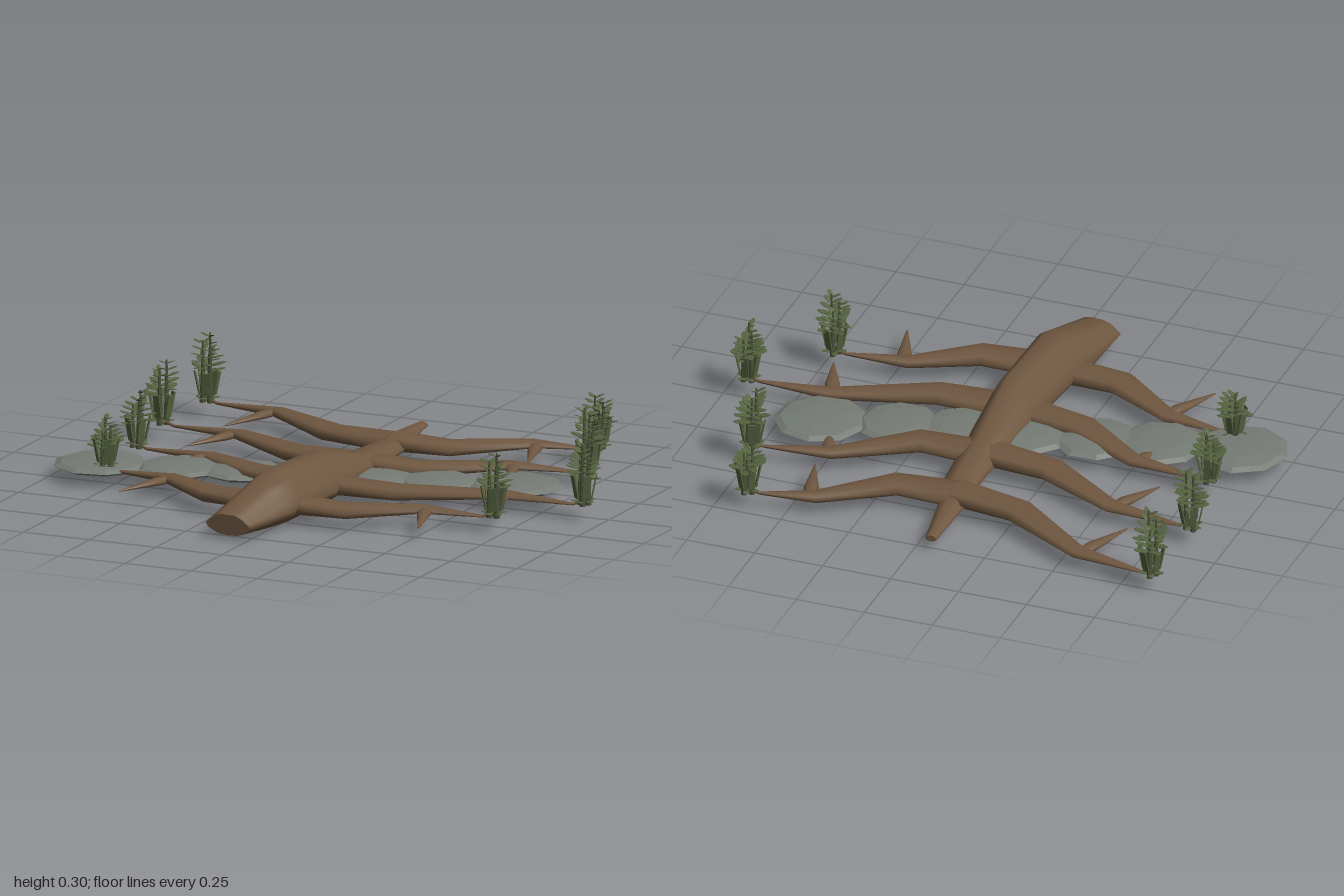
import * as THREE from 'three';

const bark = new THREE.MeshStandardMaterial({ color: 0x6f5740, side: THREE.DoubleSide });
const stone = new THREE.MeshStandardMaterial({ color: 0x757b74, flatShading: true });
const leafMat = new THREE.MeshStandardMaterial({ color: 0x55633f, flatShading: true });
const stalkMat = new THREE.MeshStandardMaterial({ color: 0x4b5038 });

function add(parent, name, geometry, material) {
  const mesh = new THREE.Mesh(geometry, material);
  mesh.name = name;
  parent.add(mesh);
  return mesh;
}

// Loft through sections [x, y, z, halfWidth, heightAbove, heightBelow], capped at both ends
function loft(sections, profile) {
  const pos = [], index = [], n = profile.length;
  sections.forEach(([x, y, z, w, up, down], i) => {
    const a = sections[Math.max(i - 1, 0)], b = sections[Math.min(i + 1, sections.length - 1)];
    const len = Math.hypot(b[0] - a[0], b[2] - a[2]);
    const sx = (b[2] - a[2]) / len, sz = -(b[0] - a[0]) / len;
    for (const [u, v] of profile) pos.push(x + sx * u * w, y + v * (v > 0 ? up : down), z + sz * u * w);
  });
  for (let i = 0; i < sections.length - 1; i++) {
    for (let j = 0; j < n; j++) {
      const a = i * n + j, b = i * n + (j + 1) % n;
      index.push(a, b, b + n, a, b + n, a + n);
    }
  }
  // Caps get their own vertices so the rims stay sharp
  for (const end of [0, sections.length - 1]) {
    const start = pos.length / 3;
    pos.push(...pos.slice(end * n * 3, (end + 1) * n * 3));
    for (let j = 1; j < n - 1; j++) {
      if (end) index.push(start, start + j, start + j + 1);
      else index.push(start, start + j + 1, start + j);
    }
  }
  const g = new THREE.BufferGeometry();
  g.setAttribute('position', new THREE.Float32BufferAttribute(pos, 3));
  g.setIndex(index);
  g.computeVertexNormals();
  return g;
}

const trunkProfile = [[1, 0], [0.87, 0.3], [0.55, 0.82], [0.28, 1], [-0.28, 1], [-0.55, 0.82], [-0.87, 0.3],
  [-1, 0], [-0.87, -0.4], [-0.45, -0.9], [0, -1], [0.45, -0.9], [0.87, -0.4]];
const round = Array.from({ length: 8 }, (_, i) => [Math.cos(i * Math.PI / 4), Math.sin(i * Math.PI / 4)]);

// Each branch: root, elbow, wrist, tip as [x, z], then the twig's start and end, plant position and top height
const branches = [
  [[-0.03, 0.48], [0.23, 0.47], [0.45, 0.335], [0.67, 0.32], [0.46, 0.32], [0.535, 0.55], [0.71, 0.31], 0.29],
  [[-0.02, 0.17], [0.27, 0.165], [0.62, 0.035], [0.88, 0.035], [0.62, 0.05], [0.69, 0.25], [0.92, 0.03], 0.28],
  [[-0.03, -0.17], [0.21, -0.165], [0.47, -0.35], [0.7, -0.38], [0.48, -0.35], [0.53, -0.2], [0.74, -0.4], 0.29],
  [[-0.03, -0.47], [0.18, -0.475], [0.41, -0.655], [0.6, -0.69], [0.43, -0.65], [0.495, -0.435], [0.64, -0.7], 0.25],
  [[-0.04, 0.47], [-0.29, 0.455], [-0.52, 0.305], [-0.74, 0.275], [-0.51, 0.31], [-0.61, 0.52], [-0.78, 0.26], 0.24],
  [[-0.03, 0.16], [-0.28, 0.12], [-0.52, -0.025], [-0.77, -0.05], [-0.53, -0.03], [-0.595, 0.12], [-0.81, -0.06], 0.26],
  [[-0.03, -0.16], [-0.28, -0.19], [-0.56, -0.35], [-0.82, -0.38], [-0.57, -0.35], [-0.665, -0.155], [-0.87, -0.39], 0.29],
  [[-0.03, -0.46], [-0.28, -0.5], [-0.57, -0.69], [-0.82, -0.73], [-0.58, -0.69], [-0.665, -0.465], [-0.86, -0.74], 0.31],
];

// Thin pointed leaf lying along +x from the origin
function leafGeometry(length, width) {
  const g = new THREE.SphereGeometry(0.5, 6, 4);
  g.rotateZ(Math.PI / 2);
  g.scale(length, 0.006, width);
  g.translate(length / 2, 0, 0);
  return g;
}

// Leafy sprig: stalks, upright lower blades and tiers of leaves
function makePlant(height, seed) {
  const plant = new THREE.Group();
  plant.name = 'sprig';
  const leaf = leafGeometry(0.062, 0.034);
  const blade = new THREE.BoxGeometry(0.005, 0.085, 0.024);
  const base = 0.06;
  for (let i = 0; i < 5; i++) {
    const a = seed + i * Math.PI * 0.4, c = Math.cos(a), s = Math.sin(a);
    const b = add(plant, 'lowerBlade', blade, leafMat);
    b.position.set(c * 0.036, base + 0.06, s * 0.036);
    b.rotation.set(0, -a, -0.2);
    const foot = add(plant, 'baseLeaf', leaf, leafMat);
    foot.position.set(0, base + 0.003, 0);
    foot.rotation.set(0, -a - 0.6, 0.12);
    foot.scale.setScalar(0.75);
  }
  for (let i = 0; i < 3; i++) {
    const a = seed + 0.5 + i * Math.PI * 2 / 3, h = (height - base) * (1 - 0.12 * i);
    const x = Math.cos(a) * 0.016, z = Math.sin(a) * 0.016;
    const stalk = add(plant, 'stalk', new THREE.CylinderGeometry(0.003, 0.011, h, 6), stalkMat);
    stalk.position.set(x, base + h / 2 - 0.01, z);
    // Leaf tiers shrink toward the top
    for (let t = 0; t < 5; t++) {
      for (let k = 0; k < 2; k++) {
        const l = add(plant, 'leaf', leaf, leafMat);
        l.position.set(x, base + h * (0.5 + 0.1 * t), z);
        l.rotation.set(0, -(a + (k ? 1.0 : -1.0) + t * 0.35), 0.2 + 0.05 * t);
        l.scale.setScalar(0.95 - 0.09 * t);
      }
    }
  }
  return plant;
}

export function createModel() {
  const model = new THREE.Group();
  model.name = 'fallenTreeBridge';

  // Tapering trunk, narrow at the back and humped toward the front
  add(model, 'trunk', loft([
    [-0.06, 0.048, -0.77, 0.021, 0.012, 0.01],
    [-0.045, 0.05, -0.55, 0.045, 0.025, 0.018],
    [-0.022, 0.055, -0.4, 0.063, 0.028, 0.03],
    [-0.012, 0.057, -0.12, 0.078, 0.045, 0.04],
    [-0.01, 0.062, 0.17, 0.1, 0.114, 0.055],
    [-0.03, 0.066, 0.5, 0.112, 0.118, 0.066],
    [-0.045, 0.062, 0.6, 0.11, 0.088, 0.06],
    [-0.07, 0.05, 0.8, 0.09, 0.038, 0.035],
  ], trunkProfile), bark);

  branches.forEach(([root, elbow, wrist, tip, twigA, twigB, plantAt, top], i) => {
    const branch = new THREE.Group();
    branch.name = 'branch';
    model.add(branch);
    add(branch, 'limb', loft([
      [root[0], 0.062, root[1], 0.075, 0.034, 0.032],
      [elbow[0], 0.06, elbow[1], 0.066, 0.027, 0.027],
      [wrist[0], 0.058, wrist[1], 0.036, 0.016, 0.016],
      [tip[0], 0.052, tip[1], 0.007, 0.005, 0.005],
      [plantAt[0], 0.066, plantAt[1], 0.005, 0.005, 0.005],
    ], round), bark);
    const mid = twigA.map((v, k) => v + (twigB[k] - v) * 0.25);
    add(branch, 'twig', loft([
      [twigA[0], 0.057, twigA[1], 0.02, 0.012, 0.012],
      [mid[0], 0.057, mid[1], 0.026, 0.014, 0.014],
      [twigB[0], 0.05, twigB[1], 0.003, 0.002, 0.002],
    ], round), bark);
    const plant = makePlant(top, i * 0.9);
    plant.position.set(plantAt[0], 0, plantAt[1]);
    branch.add(plant);
  });

  // Path of overlapping flat stones running under the trunk
  const slabs = [[-0.83, 0.19, 0.17], [-0.56, 0.13, 0.155], [-0.34, 0.08, 0.15], [-0.11, 0.03, 0.15],
    [0.12, -0.01, 0.14], [0.33, -0.06, 0.145], [0.59, -0.13, 0.165]];
  slabs.forEach(([x, z, r], i) => {
    const slab = add(model, 'steppingStone', new THREE.SphereGeometry(1, 9, 6), stone);
    slab.scale.set(r, 0.021, r);
    slab.position.set(x, 0.05, z);
    slab.rotation.y = i * 0.8;
  });
  return model;
}
